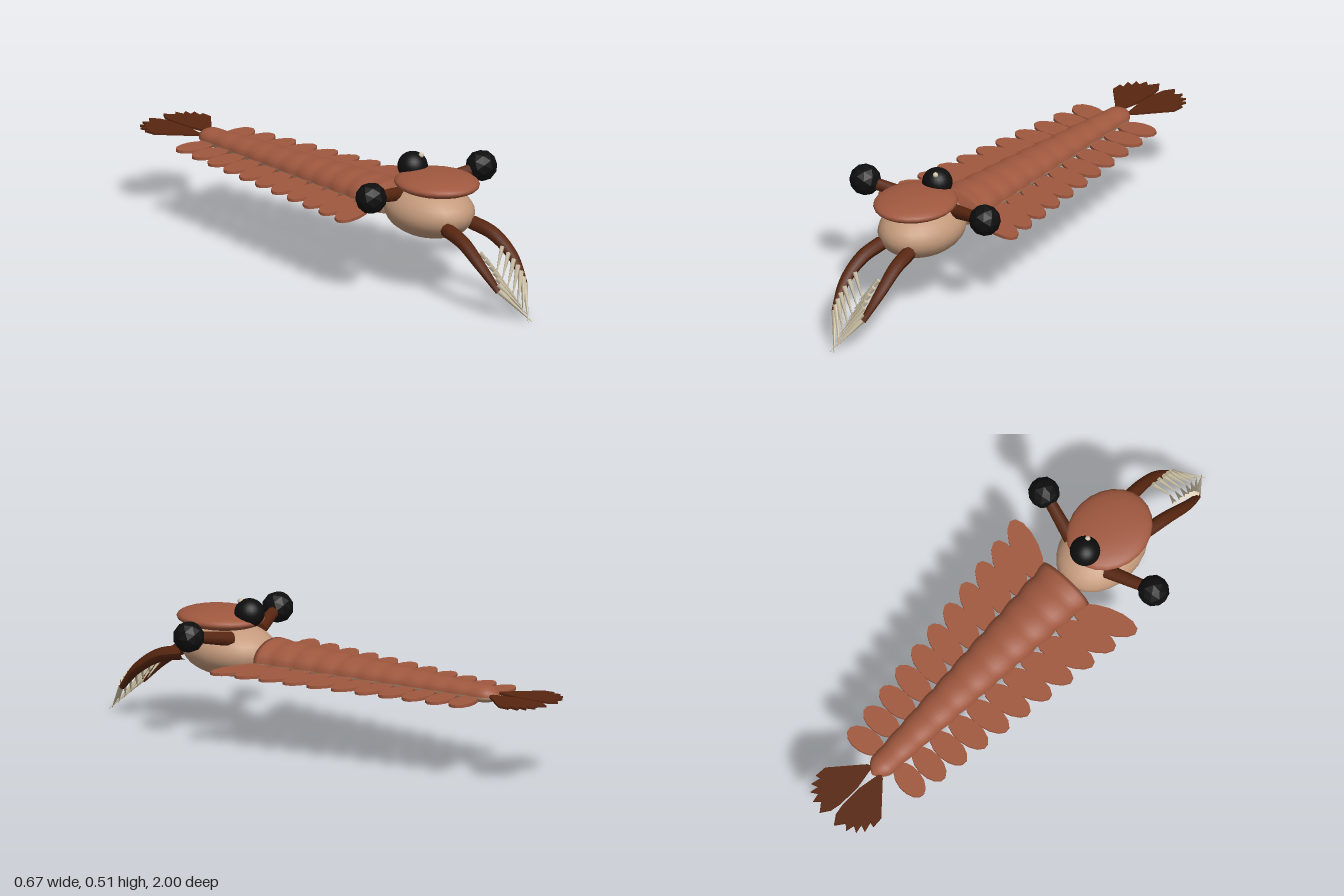
import * as THREE from 'three';

const mat = (name, color, extra = {}) => {
  const m = new THREE.MeshStandardMaterial({ color, ...extra });
  m.name = name;
  return m;
};

export function createModel() {
  const model = new THREE.Group();
  const shell = mat('shell brown', 0xa0583f);
  const tan = mat('belly tan', 0xc49a7c);
  const dark = mat('dark brown', 0x582610);
  const black = mat('eye black', 0x0e0e0e);
  const cream = mat('spine cream', 0xd0c4a8);
  black.flatShading = false;
  const blackFlat = mat('stalk eye black', 0x0e0e0e, { flatShading: true });

  const add = (name, geo, material, x = 0, y = 0, z = 0) => {
    const mesh = new THREE.Mesh(geo, material);
    mesh.name = name;
    mesh.position.set(x, y, z);
    model.add(mesh);
    return mesh;
  };
  const V = (x, y, z) => new THREE.Vector3(x, y, z);
  const lerp = THREE.MathUtils.lerp;
  const ball = (rx, ry, rz) => new THREE.SphereGeometry(1, 24, 16).scale(rx, ry, rz);

  // Tapered rod between two points
  const rod = (name, a, b, ra, rb, sides, material) => {
    const d = b.clone().sub(a);
    const geo = new THREE.CylinderGeometry(rb, ra, d.length(), sides);
    const mesh = add(name, geo, material);
    mesh.position.copy(a).lerp(b, 0.5);
    mesh.quaternion.setFromUnitVectors(V(0, 1, 0), d.normalize());
    return mesh;
  };

  // Head, head shield and middle eye
  add('head', ball(0.146, 0.1, 0.19), tan, 0, 0.31, 0.46);
  add('headShield', ball(0.146, 0.038, 0.17), shell, 0, 0.422, 0.5);
  add('middleEye', ball(0.056, 0.054, 0.056), black, 0, 0.455, 0.37);
  add('eyeGlint', ball(0.01, 0.01, 0.01), cream, 0.015, 0.499, 0.4);

  // Body halves: cross-sections taper to the rear with one bulge per segment
  const segments = 11;
  const bodyHalf = (name, start, hFront, hRear, material) => {
    const geo = new THREE.CylinderGeometry(1, 1, 1, 14, segments * 6, true, start, Math.PI);
    geo.rotateX(Math.PI / 2);
    const p = geo.attributes.position;
    for (let i = 0; i < p.count; i++) {
      const t = 0.5 - p.getZ(i);
      const bulge = 0.95 + 0.07 * Math.abs(Math.sin(t * Math.PI * segments + 0.6));
      const end = Math.min(1, Math.sqrt(Math.max(0, 1 - t) / 0.04), 0.001 + Math.sqrt(t / 0.012));
      p.setXYZ(i,
        p.getX(i) * lerp(0.115, 0.045, t) * bulge * end,
        p.getY(i) * lerp(hFront, hRear, t) * bulge * end,
        lerp(0.285, -0.76, t));
    }
    geo.computeVertexNormals();
    add(name, geo, material, 0, 0.305, 0);
  };
  bodyHalf('back', Math.PI / 2, 0.07, 0.034, shell);
  bodyHalf('belly', -Math.PI / 2, 0.052, 0.025, tan);

  // Half outline of the jagged tail fan, as x and distance behind the centre
  const fanPoints = [[0.02, 0.735], [0.04, 0.745], [0.142, 0.86], [0.145, 0.905], [0.125, 0.9],
    [0.135, 0.94], [0.108, 0.93], [0.115, 0.965], [0.09, 0.95], [0.083, 0.985],
    [0.062, 0.965], [0.036, 1.0], [0.012, 0.965], [0.004, 0.92], [0.004, 0.83]];

  for (const s of [1, -1]) {
    const side = s > 0 ? 'left' : 'right';

    // Swimming flaps
    for (let i = 0; i < segments; i++) {
      const t = i / (segments - 1);
      const root = V(lerp(0.085, 0.035, t), 0.297, lerp(0.215, -0.665, t));
      const tip = V(lerp(0.315, 0.187, t), 0.297, lerp(0.315, -0.69, t));
      const len = root.distanceTo(tip);
      const geo = new THREE.CylinderGeometry(1, 1, 0.011, 14).scale(len / 2, 1, lerp(0.05, 0.046, t));
      const flap = add(side + 'Flap' + (i + 1), geo, shell);
      flap.position.copy(root).lerp(tip, 0.5);
      flap.position.x *= s;
      flap.rotation.y = -s * Math.atan2(tip.z - root.z, tip.x - root.x);
    }

    // Tail fan
    const fan = new THREE.Shape(fanPoints.map(([x, y]) => new THREE.Vector2(s * x, y)));
    const fanGeo = new THREE.ExtrudeGeometry(fan, { depth: 0.008, bevelEnabled: false });
    fanGeo.rotateX(-Math.PI / 2);
    add(side + 'TailFan', fanGeo, dark, 0, 0.308, 0);

    // Stalked eyes
    rod(side + 'EyeStalk', V(s * 0.09, 0.372, 0.39), V(s * 0.26, 0.407, 0.44), 0.027, 0.021, 10, dark);
    add(side + 'StalkEye', new THREE.IcosahedronGeometry(0.059, 1), blackFlat, s * 0.277, 0.41, 0.443);

    // Curved grasping arm, thinning towards its end
    const path = new THREE.CatmullRomCurve3([
      V(s * 0.065, 0.283, 0.62), V(s * 0.077, 0.26, 0.72),
      V(s * 0.082, 0.195, 0.82), V(s * 0.066, 0.11, 0.9)]);
    const steps = 16, ring = 9;
    const arm = new THREE.TubeGeometry(path, steps, 0.027, ring - 1);
    const p = arm.attributes.position, v = V(0, 0, 0);
    for (let i = 0; i < p.count; i++) {
      const t = Math.floor(i / ring) / steps;
      v.fromBufferAttribute(p, i).lerp(path.getPointAt(t), 0.6 * t * t);
      p.setXYZ(i, v.x, v.y, v.z);
    }
    arm.computeVertexNormals();
    add(side + 'Arm', arm, dark);

    // Spines that reach inwards and meet in the middle
    for (let i = 0; i < 7; i++) {
      const t = i / 6, mid = 4 * t * (1 - t);
      const base = V(s * lerp(0.055, 0.064, t), lerp(0.232, 0.115, t) + 0.005 * mid, lerp(0.79, 0.9, t) + 0.025 * mid);
      const tip = V(-s * 0.009, lerp(0.145, 0.003, t), lerp(0.825, 0.998, t));
      rod(side + 'Spine' + (i + 1), base, tip, lerp(0.009, 0.012, t), 0.001, 5, cream);
    }
  }
  return model;
}
